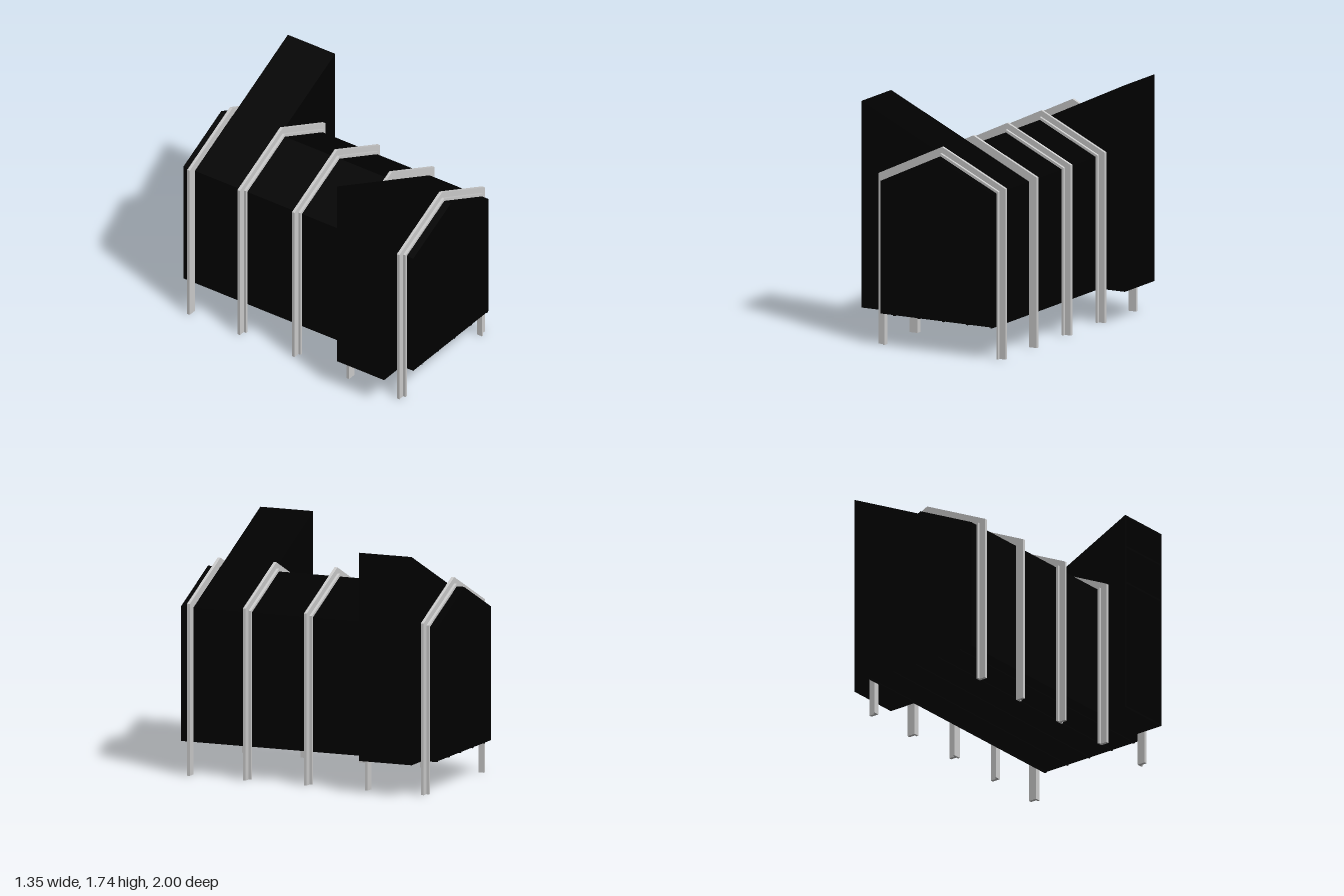
import * as THREE from 'three';

const SLOPE = 0.474, FLOOR = 0.24, HALF = 0.46, RIDGE = 1.423, REACH = 0.675, T = 0.012;

const frameMat = new THREE.MeshStandardMaterial({ color: 0xcccccc });
const shellMat = new THREE.MeshStandardMaterial({ color: 0x000000 });

// Extrude an outline in the xy plane between two z positions
function slab(name, points, z0, z1, mat, hole) {
  const shape = new THREE.Shape(points.map(p => new THREE.Vector2(...p)));
  if (hole) shape.holes.push(new THREE.Path(hole.map(p => new THREE.Vector2(...p))));
  const geo = new THREE.ExtrudeGeometry(shape, { depth: z1 - z0, bevelEnabled: false });
  geo.translate(0, 0, z0);
  const mesh = new THREE.Mesh(geo, mat);
  mesh.name = name;
  return mesh;
}

function bar(name, sx, sy, sz, x, y, z) {
  const mesh = new THREE.Mesh(new THREE.BoxGeometry(sx, sy, sz), shellMat);
  mesh.name = name;
  mesh.position.set(x, y, z);
  return mesh;
}

// Gabled outline: half width, ridge height, base height
const gable = (w, ridge, base) => [
  [-w, base], [w, base], [w, ridge - SLOPE * w], [0, ridge], [-w, ridge - SLOPE * w],
];

// Arch-shaped band between an outer and an inner gabled outline
function portal(name, wOut, rOut, wIn, rIn, z0, z1) {
  const eave = (w, r) => r - SLOPE * w;
  return slab(name, [
    [wOut, 0], [wOut, eave(wOut, rOut)], [0, rOut], [-wOut, eave(wOut, rOut)], [-wOut, 0],
    [-wIn, 0], [-wIn, eave(wIn, rIn)], [0, rIn], [wIn, eave(wIn, rIn)], [wIn, 0],
  ], z0, z1, frameMat);
}

// Portal frame: wide inner flange with a narrow outer web
function portalFrame(web, flange) {
  const g = new THREE.Group();
  g.name = 'portalFrame';
  g.add(portal('flange', 0.475, 1.443, HALF, RIDGE, ...flange));
  g.add(portal('web', 0.523, 1.488, 0.475, 1.443, ...web));
  return g;
}

// Wing bay: one roof plane runs on past the ridge to a tall open side
function wing() {
  const g = new THREE.Group();
  g.name = 'wingBay';
  const z0 = 0.488, z1 = 0.9, zm = (z0 + z1) / 2;
  const roofY = x => RIDGE - SLOPE * x;
  const drop = T * 1.1;
  g.add(slab('wingShell', [
    [-REACH, FLOOR], [HALF, FLOOR], [HALF, roofY(HALF)], [-REACH, roofY(-REACH)],
    [-REACH, roofY(-REACH) - drop], [HALF - T, roofY(HALF - T) - drop],
    [HALF - T, FLOOR + T], [-REACH, FLOOR + T],
  ], z0, z1, shellMat));
  // side cheeks outside the main outline
  const cheek = [
    [-REACH, FLOOR], [-HALF, FLOOR], [-HALF, roofY(HALF)], [0, RIDGE], [-REACH, roofY(-REACH)],
  ];
  g.add(slab('wingCheek', cheek, z0, z0 + T, shellMat));
  g.add(slab('wingCheek', cheek, z1 - T, z1, shellMat));
  // thin rails across the open side
  for (const y of [1.22, 1.5]) {
    g.add(bar('wingRail', 0.012, 0.012, z1 - z0 - T, -REACH + 0.008, y, zm));
  }
  return g;
}

export function createModel() {
  const model = new THREE.Group();
  model.name = 'pavilion';

  // Gabled shell bays between and beyond the wings
  for (const [z0, z1] of [[-1, -0.9], [-0.488, 0.488], [0.9, 1]]) {
    model.add(slab('shellBay', gable(HALF, RIDGE, FLOOR), z0, z1, shellMat,
      gable(HALF - T, RIDGE - T * 1.1, FLOOR + T)));
  }

  // End walls
  for (const z of [-1, 1 - T]) {
    model.add(slab('endWall', gable(HALF - T, RIDGE - T * 1.1, FLOOR + T), z, z + T, shellMat));
  }

  // Opposite halves: a wing and two edge frames each, turned half a circle
  for (const angle of [0, Math.PI]) {
    const half = new THREE.Group();
    half.name = 'buildingHalf';
    half.add(wing());
    half.add(portalFrame([0.465, 0.487], [0.445, 0.487]));
    half.add(portalFrame([0.902, 0.924], [0.902, 0.944]));
    half.rotation.y = angle;
    model.add(half);
  }

  // Middle frame
  model.add(portalFrame([-0.011, 0.011], [-0.031, 0.031]));

  // Floor joists
  for (let i = 0; i < 5; i++) {
    model.add(bar('floorJoist', 0.014, 0.012, 2, -0.35 + 0.2 * i, 0.24, 0));
  }

  return model;
}
